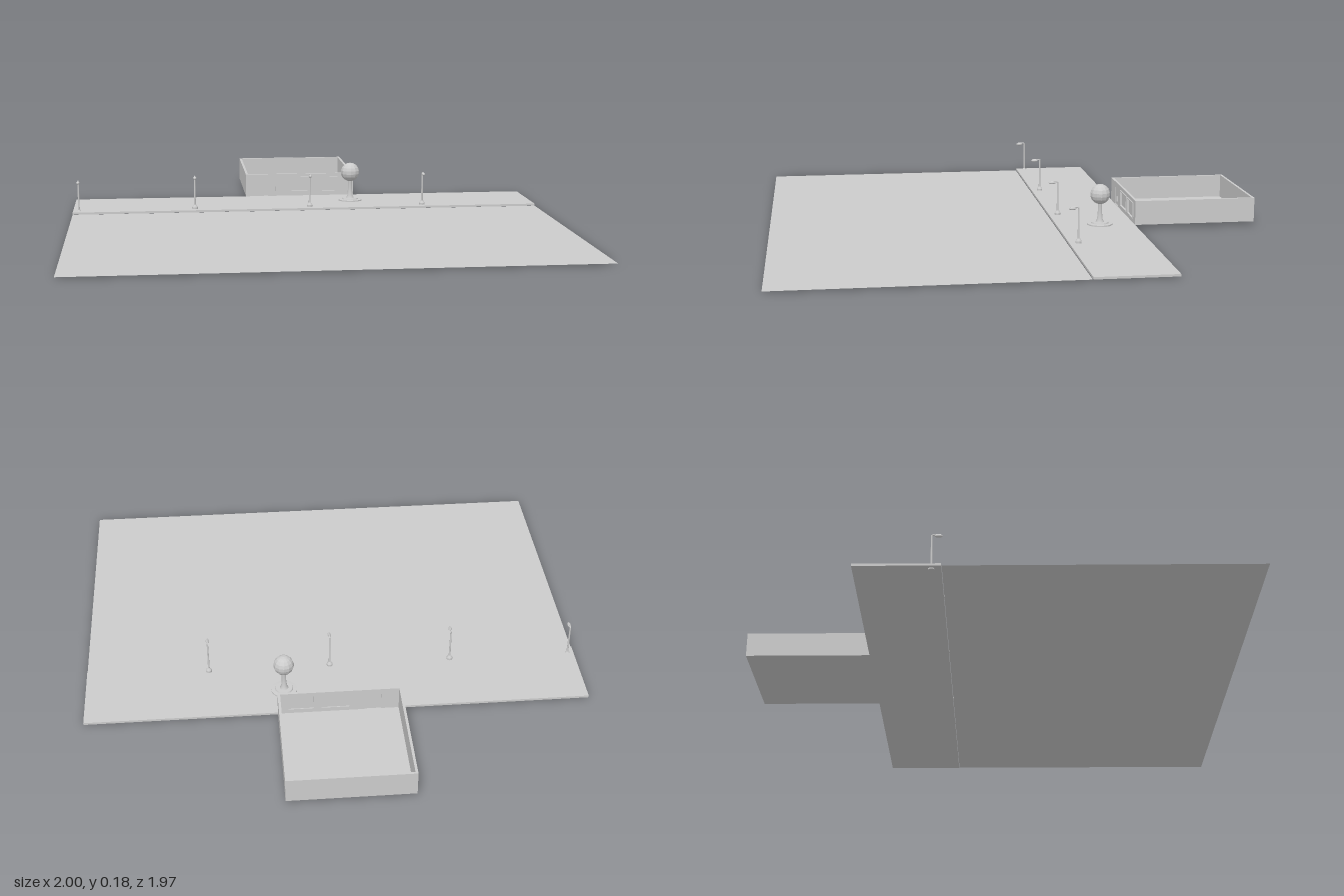
import * as THREE from 'three';

const grey = new THREE.MeshStandardMaterial({ color: 0xcccccc, side: THREE.DoubleSide });
const faceted = new THREE.MeshStandardMaterial({ color: 0xcccccc, flatShading: true });

function add(parent, name, geometry, x = 0, y = 0, z = 0, material = grey) {
  const mesh = new THREE.Mesh(geometry, material);
  mesh.name = name;
  mesh.position.set(x, y, z);
  parent.add(mesh);
  return mesh;
}

// Box given by its minimum and maximum corners
function slab(parent, name, x0, x1, y0, y1, z0, z1) {
  return add(parent, name, new THREE.BoxGeometry(x1 - x0, y1 - y0, z1 - z0),
    (x0 + x1) / 2, (y0 + y1) / 2, (z0 + z1) / 2);
}

function lathe(points, sides) {
  return new THREE.LatheGeometry(points.map(([r, y]) => new THREE.Vector2(r, y)), sides);
}

function rectangle(Type, x0, x1, y0, y1) {
  const path = new Type();
  path.moveTo(x0, y0);
  path.lineTo(x1, y0);
  path.lineTo(x1, y1);
  path.lineTo(x0, y1);
  path.closePath();
  return path;
}

// Flat wall or frame with rectangular openings
function pierced(outer, holes, depth) {
  const shape = rectangle(THREE.Shape, ...outer);
  shape.holes = holes.map((h) => rectangle(THREE.Path, ...h));
  return new THREE.ExtrudeGeometry(shape, { depth, bevelEnabled: false });
}

function createBuilding() {
  const building = new THREE.Group();
  building.name = 'building';
  const x0 = -0.245, x1 = 0.241, y0 = 0.014, y1 = 0.113, back = -0.988, front = -0.49, t = 0.01;

  slab(building, 'floor', x0, x1, y0, y0 + 0.003, back, front);
  slab(building, 'backWall', x0, x1, y0, y1, back, back + t);
  slab(building, 'rightWall', x0, x0 + t, y0, y1, back + t, front - t);
  slab(building, 'leftWall', x1 - t, x1, y0, y1, back + t, front - t);

  // Front wall with a doorway and two windows
  const door = [-0.165, -0.1, y0 + 0.003, 0.088];
  const windows = [[-0.04, 0.07, 0.035, 0.095], [0.1, 0.2, 0.035, 0.095]];
  add(building, 'frontWall', pierced([x0, x1, y0, y1], [door, ...windows], t), 0, 0, front - t);
  slab(building, 'doorLeaf', door[0], door[1], door[2], door[3], front - 0.007, front - 0.003);
  slab(building, 'doorHandle', -0.113, -0.109, 0.036, 0.056, front - 0.003, front + 0.004);
  for (const [a, b, c, d] of windows) {
    const w = 0.004;
    add(building, 'windowFrame',
      pierced([a - w, b + w, c - w, d + w], [[a, b, c, d]], 0.004), 0, 0, front);
    slab(building, 'windowPane', a, b, c, d, front - 0.006, front - 0.004);
  }
  return building;
}

function createTree() {
  const tree = new THREE.Group();
  tree.name = 'tree';
  add(tree, 'planter', lathe([[0, 0], [0.052, 0], [0.052, 0.005], [0.036, 0.006],
    [0.034, 0.011], [0, 0.011]], 20), 0, 0, 0, faceted);
  add(tree, 'trunk', lathe([[0.018, 0.01], [0.012, 0.022], [0.009, 0.05],
    [0.009, 0.085], [0.012, 0.1]], 12));
  add(tree, 'crown', new THREE.SphereGeometry(0.041, 12, 9), 0, 0.126, 0, faceted);
  tree.position.set(0.208, 0.014, -0.35);
  return tree;
}

function createLamp() {
  const lamp = new THREE.Group();
  lamp.name = 'streetLamp';
  add(lamp, 'lampBase', lathe([[0, 0], [0.012, 0], [0.012, 0.01], [0.006, 0.02], [0, 0.02]], 12),
    0, 0, 0, faceted);
  add(lamp, 'lampPole', new THREE.CylinderGeometry(0.003, 0.004, 0.125, 10), 0, 0.08, 0);
  // Curved arm reaching over the road
  const arm = new THREE.CatmullRomCurve3([
    [0, 0.138, 0], [0, 0.143, 0.003], [0, 0.144, 0.012], [0, 0.143, 0.032],
  ].map((p) => new THREE.Vector3(...p)));
  add(lamp, 'lampArm', new THREE.TubeGeometry(arm, 12, 0.003, 8));
  const head = add(lamp, 'lampHead', new THREE.SphereGeometry(1, 12, 8), 0, 0.139, 0.024);
  head.scale.set(0.007, 0.006, 0.015);
  return lamp;
}

export function createModel() {
  const model = new THREE.Group();
  model.name = 'streetScene';

  // Thin road sheet and raised pavement
  const road = new THREE.PlaneGeometry(2, 1.155).rotateX(-Math.PI / 2);
  add(model, 'road', road, 0, 0.005, 0.4075);
  slab(model, 'pavement', -1, 1, 0.005, 0.014, -0.49, -0.172);

  model.add(createBuilding(), createTree());

  // Row of lamps; the end one sits a little lower
  [-0.975, -0.482, 0.013, 0.506].forEach((x, i) => {
    const lamp = createLamp();
    lamp.position.set(x, i === 0 ? 0 : 0.012, -0.208);
    model.add(lamp);
  });
  return model;
}
